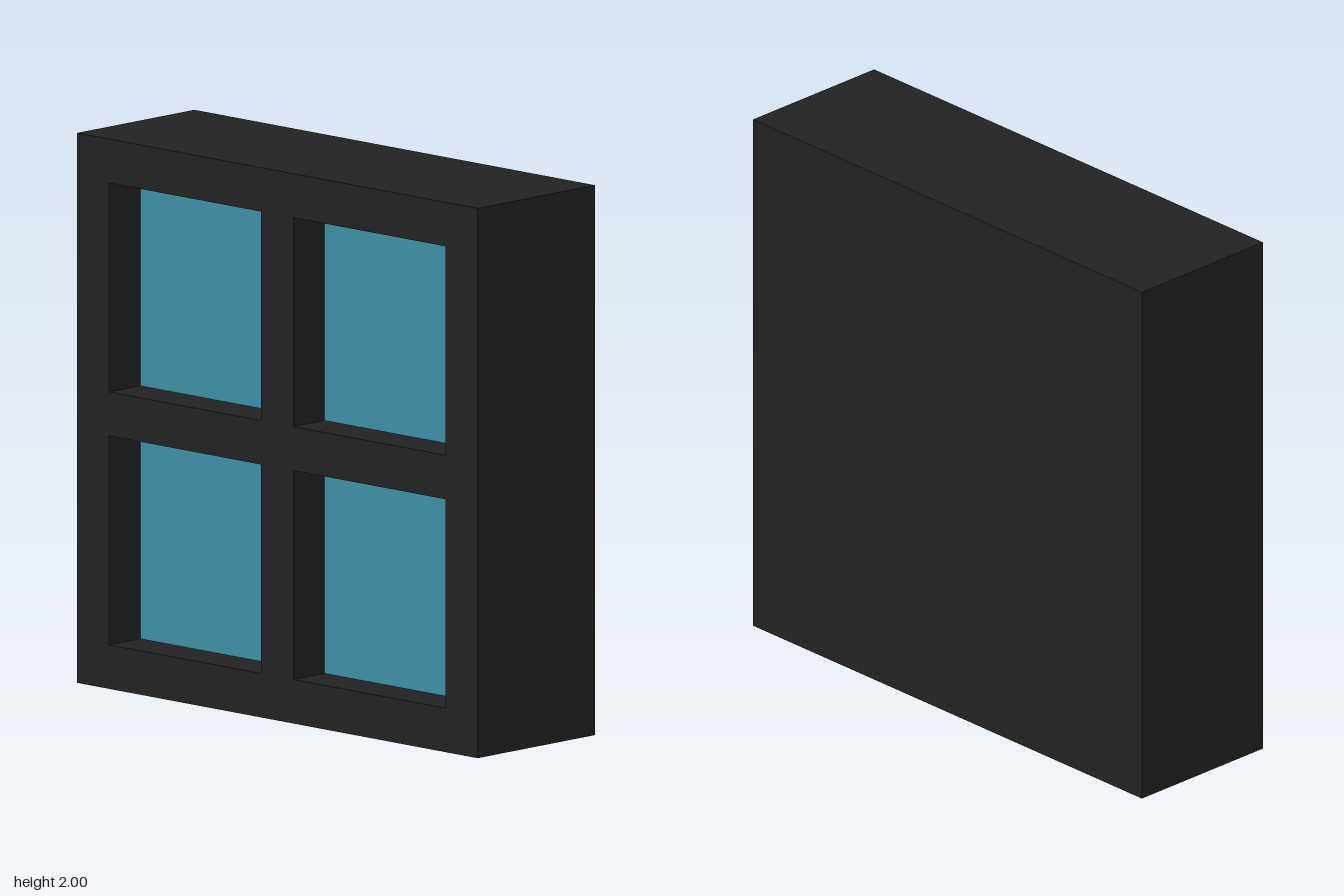
import * as THREE from 'three';

const WIDTH = 0.6;      // thickness along x
const SIZE = 2;         // height and depth
const BORDER = 0.16;    // frame bars and centre cross
const PANE = (SIZE - 3 * BORDER) / 2;
const RECESS = 0.16;    // glass set back from the frame face
const GLASS = 0.02;

export function createModel() {
  const group = new THREE.Group();
  const dark = new THREE.MeshStandardMaterial({ color: 0x222222 });
  const teal = new THREE.MeshStandardMaterial({ color: 0x3d91a6 });
  const add = (name, geometry, material, x, y, z) => {
    const mesh = new THREE.Mesh(geometry, material);
    mesh.name = name;
    mesh.position.set(x, y, z);
    group.add(mesh);
  };

  const left = -WIDTH / 2;
  const frameDepth = RECESS + GLASS;
  const offset = (PANE + BORDER) / 2;
  const centres = [-1, 1].flatMap((a) => [-1, 1].map((b) => [a * offset, b * offset]));
  const rect = (path, cx, cy, s) => path
    .moveTo(cx - s / 2, cy - s / 2).lineTo(cx + s / 2, cy - s / 2)
    .lineTo(cx + s / 2, cy + s / 2).lineTo(cx - s / 2, cy + s / 2).closePath();

  // Solid block behind the window
  const bodyDepth = WIDTH - frameDepth;
  add('body', new THREE.BoxGeometry(bodyDepth, SIZE, SIZE), dark, WIDTH / 2 - bodyDepth / 2, SIZE / 2, 0);

  // Window frame with four square openings, facing -x
  const shape = new THREE.Shape();
  rect(shape, 0, 0, SIZE);
  for (const [cx, cy] of centres) {
    const hole = new THREE.Path();
    rect(hole, cx, cy, PANE);
    shape.holes.push(hole);
  }
  const frame = new THREE.ExtrudeGeometry(shape, { depth: frameDepth, bevelEnabled: false });
  frame.rotateY(Math.PI / 2);
  add('windowFrame', frame, dark, left, SIZE / 2, 0);

  // Recessed glass panes
  const pane = new THREE.BoxGeometry(GLASS, PANE, PANE);
  for (const [z, y] of centres) {
    add('glassPane', pane, teal, left + RECESS + GLASS / 2, SIZE / 2 + y, z);
  }
  return group;
}
